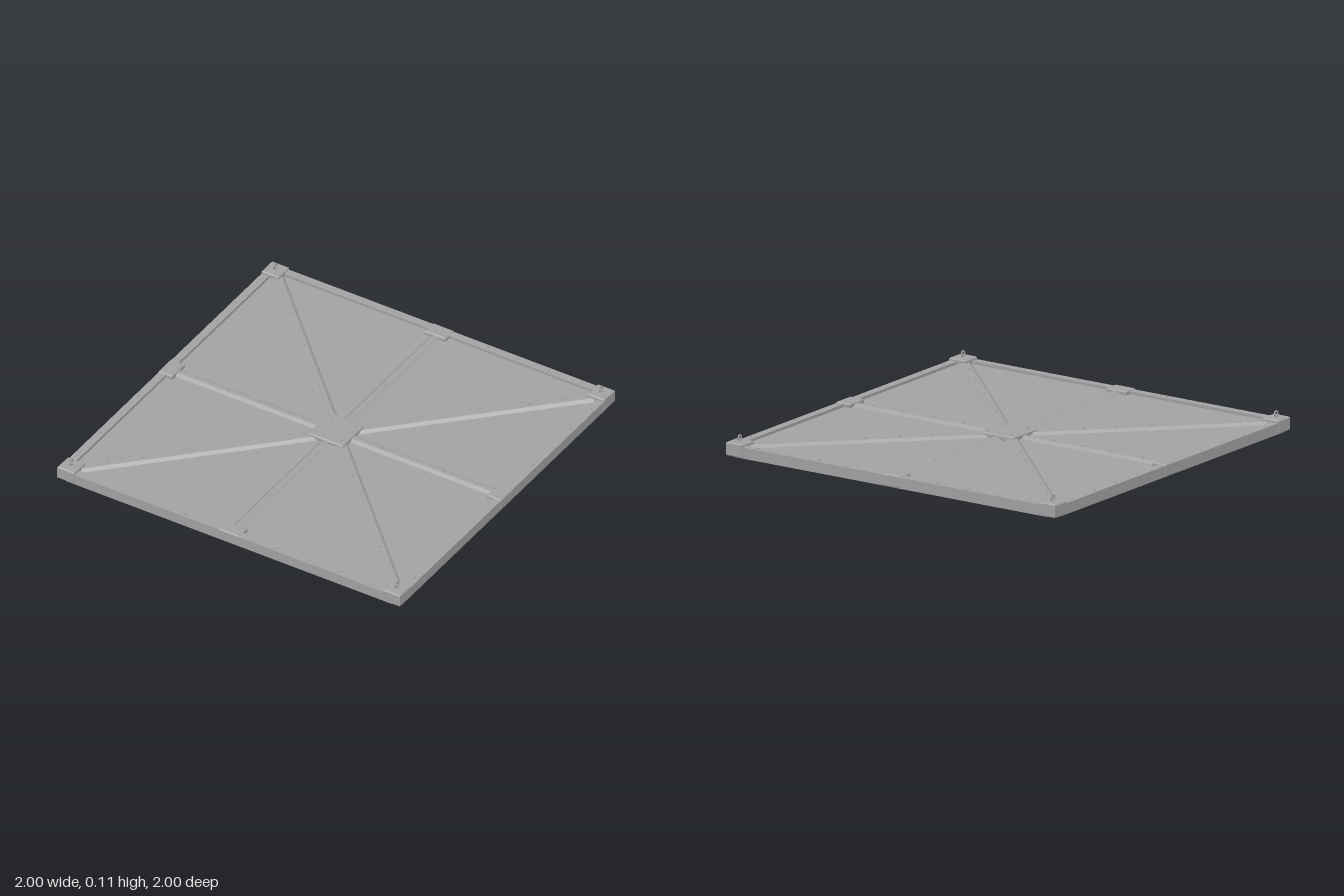
import * as THREE from 'three';

export function createModel() {
  const model = new THREE.Group();
  const steel = new THREE.MeshStandardMaterial({ color: 0xa3a3a3 });
  steel.name = 'steel grey';

  function add(name, geometry, x = 0, y = 0, z = 0, parent = model) {
    const mesh = new THREE.Mesh(geometry, steel);
    mesh.name = name;
    mesh.position.set(x, y, z);
    parent.add(mesh);
    return mesh;
  }

  // Block with bevelled edges, standing between y = 0 and y = h
  function bevelBlock(w, h, d, b) {
    const x = w / 2 - b, z = d / 2 - b;
    const outline = new THREE.Shape([
      new THREE.Vector2(-x, -z), new THREE.Vector2(x, -z),
      new THREE.Vector2(x, z), new THREE.Vector2(-x, z)]);
    return new THREE.ExtrudeGeometry(outline, {
      depth: h - 2 * b, bevelEnabled: true, bevelSize: b, bevelThickness: b, bevelSegments: 1,
    }).translate(0, 0, b).rotateX(-Math.PI / 2);
  }

  // Straight rib along +x with sloping sides
  function ribGeometry(length, bottom, top, height) {
    const profile = new THREE.Shape([
      new THREE.Vector2(-bottom / 2, 0), new THREE.Vector2(bottom / 2, 0),
      new THREE.Vector2(top / 2, height), new THREE.Vector2(-top / 2, height)]);
    return new THREE.ExtrudeGeometry(profile, { depth: length, bevelEnabled: false })
      .rotateY(Math.PI / 2);
  }

  const FLOOR = 0.042, FRAME = 0.057;
  const bolt = new THREE.CylinderGeometry(0.005, 0.006, 0.008, 6);

  // Floor panel
  add('floorPanel', new THREE.BoxGeometry(1.96, FLOOR, 1.96), 0, FLOOR / 2, 0);

  // Four edge beams with their middle clamps and bolts
  const beam = new THREE.BoxGeometry(1.9, FRAME, 0.042);
  const clamp = bevelBlock(0.12, 0.064, 0.082, 0.006);
  for (let i = 0; i < 4; i++) {
    const side = new THREE.Group();
    side.name = 'edge' + (i + 1);
    side.rotation.y = i * Math.PI / 2;
    model.add(side);
    add('edgeBeam', beam, 0, FRAME / 2, 0.976, side);
    add('edgeClamp', clamp, 0, 0, 0.959, side);
    for (const s of [-1, 1]) {
      for (const x of [0.27, 0.45, 0.63, 0.82]) add('edgeBolt', bolt, s * x, FRAME + 0.002, 0.976, side);
    }
  }

  // Eight ribs from the hub: straight ones and wider diagonals
  const straightRib = ribGeometry(0.87, 0.058, 0.024, 0.013);
  const diagonalRib = ribGeometry(1.24, 0.078, 0.042, 0.013);
  for (let i = 0; i < 8; i++) {
    const diagonal = i % 2 === 1;
    const arm = new THREE.Group();
    arm.name = diagonal ? 'diagonalArm' : 'straightArm';
    arm.rotation.y = i * Math.PI / 4;
    model.add(arm);
    add('rib', diagonal ? diagonalRib : straightRib, 0.06, FLOOR, 0, arm);
    const spots = diagonal ? [0.38, 0.54, 0.72, 0.98, 1.16] : [0.27, 0.45, 0.63, 0.82];
    for (const r of spots) add('ribBolt', bolt, r, FLOOR + 0.015, 0, arm);
  }

  // Centre hub
  add('hubPlate', bevelBlock(0.204, 0.027, 0.204, 0.006), 0, FLOOR - 0.003, 0);

  // Corner blocks with upright lifting rings, and hub bolts
  const corner = bevelBlock(0.1, 0.071, 0.1, 0.006);
  const ring = new THREE.TorusGeometry(0.0145, 0.0045, 6, 6).rotateZ(Math.PI / 6).rotateY(Math.PI / 2);
  const collar = new THREE.CylinderGeometry(0.008, 0.01, 0.012, 8);
  for (const sx of [-1, 1]) {
    for (const sz of [-1, 1]) {
      add('cornerBlock', corner, sx * 0.95, 0, sz * 0.95);
      add('ringCollar', collar, sx * 0.95, 0.073, sz * 0.95);
      add('liftingRing', ring, sx * 0.95, 0.089, sz * 0.95);
      add('hubBolt', bolt, sx * 0.07, 0.068, sz * 0.07);
    }
  }
  return model;
}
